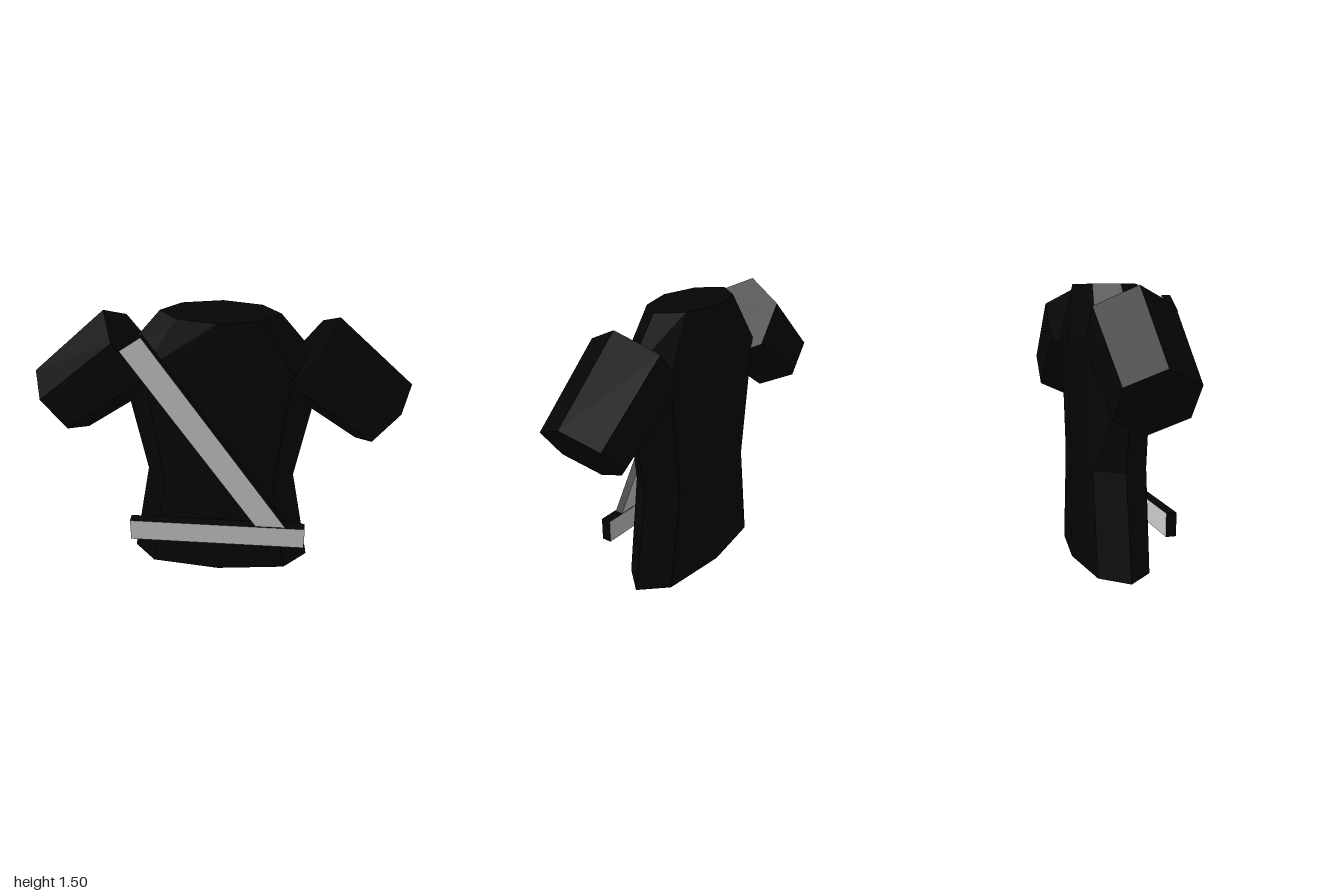
import * as THREE from 'three';

const cloth = new THREE.MeshStandardMaterial({ color: 0x050505, flatShading: true });
const strapFace = new THREE.MeshStandardMaterial({ color: 0xcccccc });
const strapEdge = new THREE.MeshStandardMaterial({ color: 0x050505 });

// Closed solid through rings of equal count, each counter-clockwise seen from the last ring's end
function loft(rings) {
  const pos = [];
  const tri = (...pts) => pts.forEach((p) => pos.push(p.x, p.y, p.z));
  const n = rings[0].length;
  for (let r = 0; r < rings.length - 1; r++) {
    const lo = rings[r], hi = rings[r + 1];
    for (let i = 0; i < n; i++) {
      const j = (i + 1) % n;
      tri(lo[i], lo[j], hi[j]);
      tri(lo[i], hi[j], hi[i]);
    }
  }
  const first = rings[0], last = rings[rings.length - 1];
  for (let i = 1; i < n - 1; i++) {
    tri(first[0], first[i + 1], first[i]);
    tri(last[0], last[i], last[i + 1]);
  }
  const geo = new THREE.BufferGeometry();
  geo.setAttribute('position', new THREE.Float32BufferAttribute(pos, 3));
  geo.computeVertexNormals();
  return geo;
}

function addMesh(group, name, geo, material) {
  const mesh = new THREE.Mesh(geo, material);
  mesh.name = name;
  group.add(mesh);
  return mesh;
}

// Eight-sided torso section: side and corner half widths, middle and corner half depths
function torsoRing(y, side, corner, depth, cornerDepth) {
  const zc = -0.02;
  return [
    [0, depth], [corner, cornerDepth], [side, 0], [corner, -cornerDepth],
    [0, -depth], [-corner, -cornerDepth], [-side, 0], [-corner, cornerDepth],
  ].map(([x, z]) => new THREE.Vector3(x, y, z + zc));
}

// Six-sided sleeve section between its upper and lower edge points
function sleeveRing(top, bottom, halfDepth, mirror) {
  const ring = [];
  for (let i = 0; i < 6; i++) {
    const a = (i * Math.PI) / 3;
    const t = (1 - Math.cos(a)) / 2;
    ring.push(new THREE.Vector3(
      mirror * THREE.MathUtils.lerp(top[0], bottom[0], t),
      THREE.MathUtils.lerp(top[1], bottom[1], t),
      -0.02 + (halfDepth * Math.sin(a)) / Math.sin(Math.PI / 3)
    ));
  }
  return mirror < 0 ? ring.reverse() : ring;
}

// Flat strap with pale front and back and dark edges
function addStrap(group, name, w, h, d, x, y, z) {
  const e = strapEdge, f = strapFace;
  const mesh = addMesh(group, name, new THREE.BoxGeometry(w, h, d), [e, e, e, e, f, f]);
  mesh.position.set(x, y, z);
  return mesh;
}

export function createModel() {
  const model = new THREE.Group();
  model.name = 'shirt';

  // Torso: hem, waist, chest, neck
  addMesh(model, 'torso', loft([
    torsoRing(0, 0.51, 0.38, 0.185, 0.14),
    torsoRing(0.55, 0.41, 0.3, 0.19, 0.145),
    torsoRing(1.23, 0.54, 0.38, 0.195, 0.147),
    torsoRing(1.5, 0.31, 0.21, 0.172, 0.12),
  ]), cloth);

  // Sleeves, slightly wider at the shoulder than at the cuff
  for (const m of [1, -1]) {
    addMesh(model, m > 0 ? 'leftSleeve' : 'rightSleeve', loft([
      sleeveRing([0.605, 1.49], [0.3, 1.1], 0.207, m),
      sleeveRing([1.0, 1.135], [0.735, 0.805], 0.186, m),
    ]), cloth);
  }

  // Belt across the front, and the sash from right shoulder down to it
  addStrap(model, 'belt', 0.97, 0.125, 0.055, 0, 0.287, 0.198);
  const from = new THREE.Vector2(-0.4275, 1.405), to = new THREE.Vector2(0.335, 0.292);
  const sash = addStrap(model, 'sash', from.distanceTo(to), 0.135, 0.045,
    (from.x + to.x) / 2, (from.y + to.y) / 2, 0.196);
  sash.rotation.z = Math.atan2(to.y - from.y, to.x - from.x);

  return model;
}
